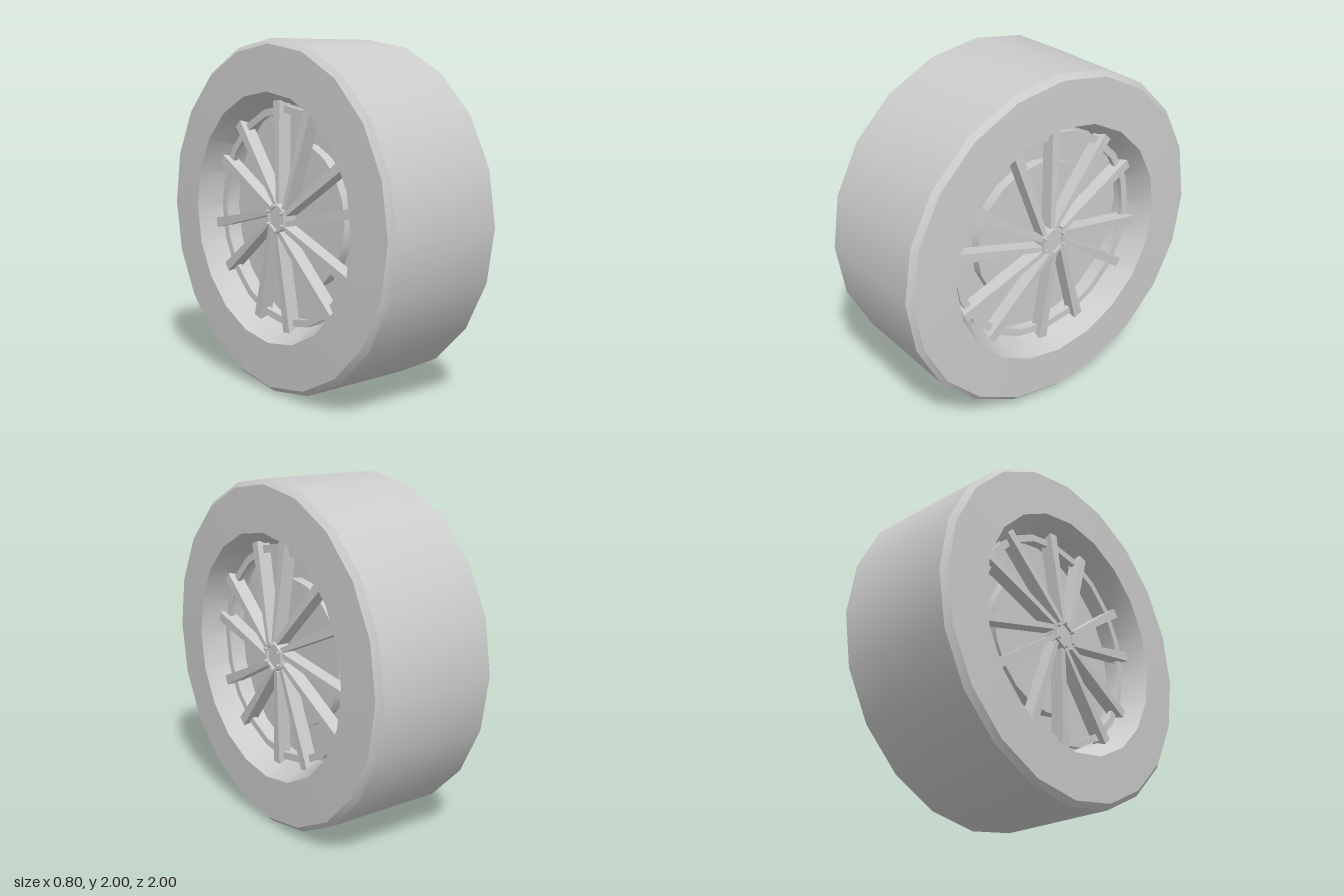
import * as THREE from 'three';
import { toCreasedNormals } from 'three/addons/utils/BufferGeometryUtils.js';

const grey = new THREE.MeshStandardMaterial({ color: 0xcccccc });
const SIDES = 20;
const rad = THREE.MathUtils.degToRad;

function addMesh(parent, name, geometry) {
  const mesh = new THREE.Mesh(geometry, grey);
  mesh.name = name;
  parent.add(mesh);
  return mesh;
}

// Faceted ring or disc turned around the local z axis; profile is [radius, depth]
function turned(profile, sides = SIDES) {
  const points = profile.map(([r, d]) => new THREE.Vector2(r, d));
  const geometry = new THREE.LatheGeometry(points, sides);
  geometry.rotateX(Math.PI / 2);
  return toCreasedNormals(geometry, 0.5);
}

// Tapered bar from a to b, seen face on; z of a and b is the front face
function spokeGeometry(a, b, widthA, widthB, depth) {
  const geometry = new THREE.BoxGeometry(1, 1, 1);
  const across = new THREE.Vector3(b.y - a.y, a.x - b.x, 0).normalize();
  const p = geometry.attributes.position;
  for (let i = 0; i < p.count; i++) {
    const t = p.getY(i) + 0.5;
    const v = a.clone().lerp(b, t);
    v.addScaledVector(across, p.getX(i) * THREE.MathUtils.lerp(widthA, widthB, t));
    v.z += (p.getZ(i) - 0.5) * depth;
    p.setXYZ(i, v.x, v.y, v.z);
  }
  geometry.computeVertexNormals();
  return geometry;
}

function polar(radius, angle, z) {
  return new THREE.Vector3(radius * Math.cos(angle), radius * Math.sin(angle), z);
}

// Everything inside the bore on one side, facing local +z; mirror is 1 or -1
function wheelFace(name, mirror) {
  const face = new THREE.Group();
  face.name = name;
  const at = (radius, degrees, z) => {
    const v = polar(radius, rad(degrees), z);
    v.x *= mirror;
    return v;
  };

  addMesh(face, 'brakeDisc', turned([[0.43, 0.1], [0.43, 0.2], [0, 0.2]]));
  addMesh(face, 'rimRing', turned([[0.59, 0.24], [0.632, 0.24], [0.632, 0.27], [0.59, 0.27], [0.59, 0.24]]));

  // Six V-shaped pairs of spokes, each pair meeting near a corner of the hub
  for (let i = 0; i < 6; i++) {
    for (const [innerAngle, outerAngle] of [[77, 51], [97, 86.5]]) {
      const inner = at(0.085, innerAngle + i * 60, 0.335);
      const outer = at(0.66, outerAngle + i * 60, 0.3);
      addMesh(face, 'spoke', spokeGeometry(inner, outer, 0.028, 0.058, 0.08));
    }
  }

  // Six-sided hub with a shallow recess and a small bolt at each corner
  addMesh(face, 'hub', turned([[0, 0.26], [0.09, 0.26], [0.09, 0.345], [0.07, 0.345], [0.07, 0.33], [0, 0.33]], 6));
  for (let i = 0; i < 6; i++) {
    const bolt = new THREE.CylinderGeometry(0.01, 0.01, 0.03, 6);
    bolt.rotateX(Math.PI / 2);
    addMesh(face, 'hubBolt', bolt).position.copy(at(0.072, 30 + i * 60, 0.345));
  }
  return face;
}

export function createModel() {
  const model = new THREE.Group();
  model.name = 'wheel';

  const wheel = new THREE.Group();
  wheel.name = 'wheelAssembly';
  wheel.position.y = 1;
  model.add(wheel);

  // Tyre, tapered bore and centre plate, symmetric about the middle
  const half = [[0, 0.14], [0.645, 0.14], [0.645, 0.25], [0.71, 0.4], [0.97, 0.39], [1, 0.36]];
  const profile = [...half.map(([r, d]) => [r, -d]), ...half.slice().reverse()];
  addMesh(wheel, 'tyre', turned(profile)).rotation.y = Math.PI / 2;

  // Spoked faces, mirrored left and right
  const left = wheelFace('leftFace', 1);
  left.rotation.y = Math.PI / 2;
  const right = wheelFace('rightFace', -1);
  right.rotation.y = -Math.PI / 2;
  wheel.add(left, right);

  return model;
}
